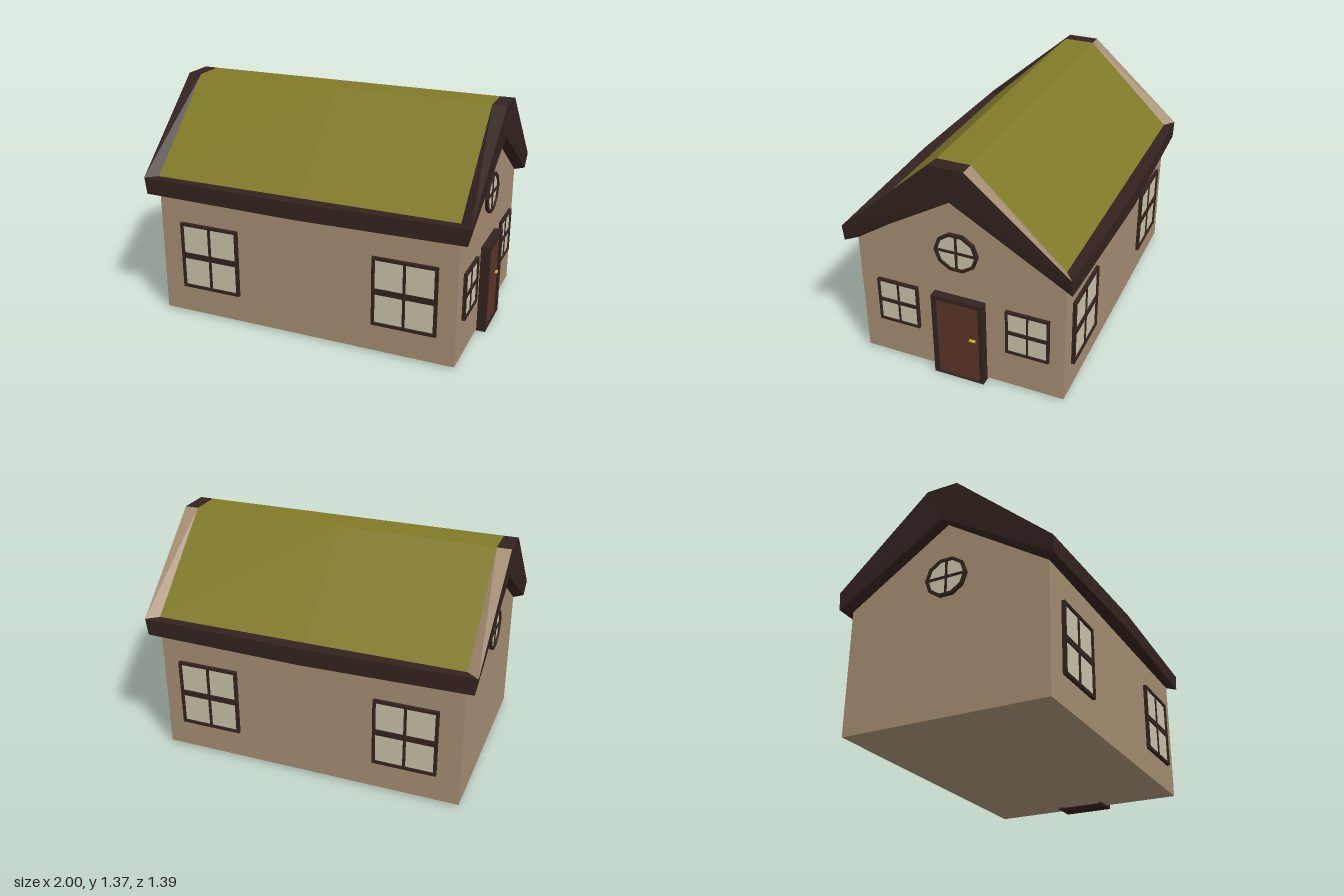
import * as THREE from 'three';

const mat = (color) => new THREE.MeshStandardMaterial({ color, flatShading: true });
const WALL = mat(0xa58d72), TRIM = mat(0x33231f), ROOF = mat(0x817a27),
  GLASS = mat(0xc9c2a9), DOOR = mat(0x5a3528), BRASS = mat(0xc8b820);

function add(parent, name, geometry, material, x = 0, y = 0, z = 0) {
  const mesh = new THREE.Mesh(geometry, material);
  mesh.name = name;
  mesh.position.set(x, y, z);
  parent.add(mesh);
  return mesh;
}

const box = (w, h, d) => new THREE.BoxGeometry(w, h, d);
const points = (list) => list.map(([x, y]) => new THREE.Vector2(x, y));
const rect = (x0, x1, y0, y1) => points([[x0, y0], [x1, y0], [x1, y1], [x0, y1]]);

// Ten-sided outline, slightly squashed in height
const decagon = (r) => points(Array.from({ length: 10 }, (_, i) => {
  const a = (i / 10) * Math.PI * 2;
  return [r * Math.cos(a), r * 0.93 * Math.sin(a)];
}));

function extrude(outer, inner, depth) {
  const shape = new THREE.Shape(outer);
  if (inner) shape.holes.push(new THREE.Path(inner));
  return new THREE.ExtrudeGeometry(shape, { depth, bevelEnabled: false });
}

// Window facing +z with its back at z = 0: frame, pane and crossed bars
function makeWindow(name, outer, inner, w, h, barH, barV) {
  const g = new THREE.Group();
  g.name = name;
  add(g, 'windowFrame', extrude(outer, inner, 0.02), TRIM);
  add(g, 'windowPane', extrude(inner, null, 0.01), GLASS);
  add(g, 'horizontalBar', box(w, barH, 0.018), TRIM, 0, 0, 0.009);
  add(g, 'verticalBar', box(barV, h, 0.016), TRIM, 0, 0, 0.008);
  return g;
}

function rectWindow(name, w, h, border, barH, barV) {
  const x = w / 2, y = h / 2;
  return makeWindow(name, rect(-x, x, -y, y),
    rect(-x + border, x - border, -y + border, y - border),
    w - border, h - border, barH, barV);
}

// Flat faces from the +x +z quarter, mirrored to the chosen sides
function mirrored(faces, zSides) {
  const pos = [];
  for (const sx of [1, -1]) for (const sz of zSides) for (const face of faces) {
    const p = face.map(([x, y, z]) => [x * sx, y, z * sz]);
    if (sx * sz < 0) p.reverse();
    // rotate the list so the fan always starts from the same corner
    if (sx * sz < 0) p.unshift(p.pop());
    for (let i = 1; i < p.length - 1; i++) pos.push(...p[0], ...p[i], ...p[i + 1]);
  }
  const g = new THREE.BufferGeometry();
  g.setAttribute('position', new THREE.Float32BufferAttribute(pos, 3));
  g.computeVertexNormals();
  return g;
}

function makeRoof() {
  const roof = new THREE.Group();
  roof.name = 'roof';
  // Inner corners above the wall plane
  const ridge = [0.917, 1.365, 0], edge = [0.917, 1.365, 0.095], eave = [0.917, 0.865, 0.615];
  const wallPeak = [0.917, 1.165, 0], wallEave = [0.917, 0.765, 0.615];
  // Outer corners of the overhanging trim
  const ridgeO = [1, 1.365, 0], edgeO = [1, 1.365, 0.095], eaveO = [0.985, 0.865, 0.668];
  const lowO = [0.972, 0.765, 0.668], peakO = [0.985, 1.165, 0];
  // Points halfway along the house, where the eaves bow outwards
  const mid = (p, z = p[2]) => [0, p[1], z];
  const eaveM = mid(eaveO, 0.695), lowM = mid(lowO, 0.695);

  add(roof, 'roofCovering', mirrored([
    [mid(edge), mid(eave), eave, edge],
    [mid(ridge), mid(edge), edge, ridge],
  ], [1, -1]), ROOF);
  add(roof, 'roofTrim', mirrored([
    [ridge, edge, edgeO, ridgeO],
    [mid(eave), eaveM, eaveO, eave],
    [eaveM, lowM, lowO, eaveO],
    [mid(wallEave), wallEave, lowO, lowM],
    [peakO, ridgeO, edgeO, eaveO, lowO],
    [wallPeak, peakO, lowO, wallEave],
  ], [1, -1]), TRIM);
  // Sloping verge strips: dark at the front, wall-coloured at the back
  const verge = [[edge, eave, eaveO, edgeO]];
  add(roof, 'frontVerge', mirrored(verge, [1]), TRIM);
  add(roof, 'backVerge', mirrored(verge, [-1]), WALL);
  return roof;
}

// Entrance facing +z, with the wall plane at z = 0
function makeDoor() {
  const door = new THREE.Group();
  door.name = 'door';
  add(door, 'doorFrame', extrude(rect(-0.153, 0.153, 0, 0.537),
    rect(-0.129, 0.129, 0.006, 0.514), 0.145), TRIM, 0, 0, -0.092);
  add(door, 'doorPanel', box(0.258, 0.508, 0.06), DOOR, 0, 0.26, 0.008);
  add(door, 'doorHandle', box(0.036, 0.009, 0.014), BRASS, 0.087, 0.285, 0.044);
  return door;
}

export function createModel() {
  const house = new THREE.Group();
  house.name = 'house';

  // Walls: a gabled outline drawn along the length of the house
  const gable = points([[-0.615, 0.012], [0.615, 0.012], [0.615, 0.765], [0, 1.165], [-0.615, 0.765]]);
  const walls = extrude(gable, null, 1.834);
  walls.translate(0, 0, -0.917).rotateY(Math.PI / 2);
  add(house, 'walls', walls, WALL);
  house.add(makeRoof());

  // Two large windows on each long side
  for (const side of [1, -1]) for (const x of [-0.593, 0.622]) {
    const w = rectWindow('sideWindow', 0.377, 0.415, 0.017, 0.034, 0.016);
    w.position.set(x, 0.39, side * 0.615);
    if (side < 0) w.rotation.y = Math.PI;
    house.add(w);
  }

  // Round attic window in both gables
  for (const side of [1, -1]) {
    const w = makeWindow('roundWindow', decagon(0.129), decagon(0.111), 0.23, 0.205, 0.013, 0.013);
    w.position.set(side * 0.917, 0.824, 0.004);
    w.rotation.y = side * Math.PI / 2;
    house.add(w);
  }

  // Door gable: a small window on either side of the entrance
  for (const z of [0.381, -0.403]) {
    const w = rectWindow('gableWindow', 0.253, 0.28, 0.013, 0.021, 0.011);
    w.position.set(0.917, 0.388, z);
    w.rotation.y = Math.PI / 2;
    house.add(w);
  }
  const door = makeDoor();
  door.position.set(0.917, 0, -0.002);
  door.rotation.y = Math.PI / 2;
  house.add(door);
  return house;
}
